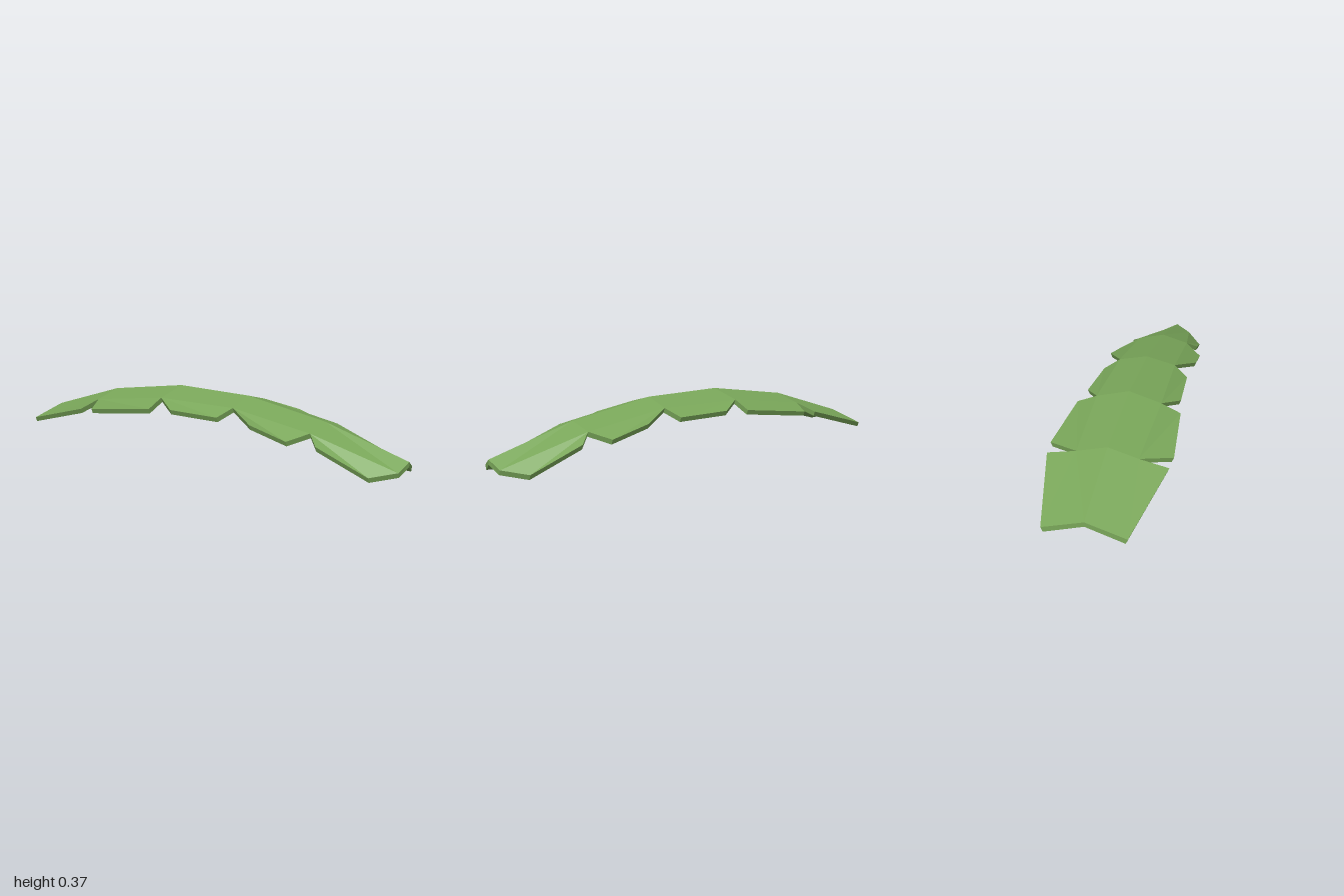
import * as THREE from 'three';

const THICK = 0.028;
const INSET = 0.008;

// Ridge points [along the x = z diagonal, height]
const ridge = [[-0.825, 0.15], [-0.48, 0.30], [-0.12, 0.37], [0.22, 0.355], [0.58, 0.26], [0.94, 0.1]];

// Notch points [x, y, z] on one side of each seam between lobes (the first is the cut stem end)
const notches = [[-0.67, 0.09, -1.0], [-0.36, 0.255, -0.61], [0.01, 0.32, -0.265], [0.35, 0.31, 0.10], [0.69, 0.22, 0.46], [0.99, 0.055, 0.86]];

// Outer corners of each lobe, from its rear notch to its front notch
const lobes = [
  [[-0.24, 0.22, -0.73]],
  [[-0.17, 0.23, -0.67], [0.09, 0.27, -0.35]],
  [[0.17, 0.275, -0.235], [0.375, 0.262, 0.0]],
  [[0.55, 0.25, 0.15], [0.70, 0.182, 0.32]],
  [[0.78, 0.165, 0.465], [0.97, 0.03, 0.70]],
];

const under = ([x, y, z]) => {
  const shift = x - z > 0.01 ? INSET : 0; // the ridge stays in the middle
  return [x - shift, y - THICK, z + shift];
};

// One half lobe as a thin folded plate; mirrored across the x = z plane when asked
function halfLobe(i, mirrored) {
  const pos = [];
  const tri = (a, b, c) => {
    const t = mirrored ? [a, c, b] : [a, b, c];
    for (const [x, y, z] of t) pos.push(...(mirrored ? [z, y, x] : [x, y, z]));
  };
  const plate = (pts) => {
    for (let k = 1; k < pts.length - 1; k++) {
      tri(pts[0], pts[k], pts[k + 1]);
      tri(under(pts[0]), under(pts[k + 1]), under(pts[k]));
    }
  };
  const [s0, s1] = [ridge[i], ridge[i + 1]].map(([d, y]) => [d, y, d]);
  const [n0, n1] = [notches[i], notches[i + 1]];
  const outer = [...lobes[i]].reverse();

  // Inner panel beside the ridge and the drooping outer flap
  plate([s0, s1, n1, n0]);
  plate([n0, n1, ...outer]);

  // Rim, closed at the stem end and the tip
  const rim = [n1, ...outer, n0];
  if (i === 0) rim.push(s0);
  if (i === lobes.length - 1) rim.unshift(s1);
  for (let k = 0; k < rim.length - 1; k++) {
    const a = rim[k], b = rim[k + 1];
    tri(a, under(a), under(b));
    tri(a, under(b), b);
  }

  const geo = new THREE.BufferGeometry();
  geo.setAttribute('position', new THREE.Float32BufferAttribute(pos, 3));
  geo.computeVertexNormals(); // unshared corners give flat facets
  return geo;
}

export function createModel() {
  const leaf = new THREE.Group();
  leaf.name = 'leaf';
  const green = new THREE.MeshStandardMaterial({ color: 0x79a659 });
  green.name = 'leaf green';
  green.flatShading = true;

  lobes.forEach((_, i) => {
    const segment = new THREE.Group();
    segment.name = `leafSegment${i + 1}`;
    for (const mirrored of [false, true]) {
      const half = new THREE.Mesh(halfLobe(i, mirrored), green);
      half.name = mirrored ? 'rightLobe' : 'leftLobe';
      segment.add(half);
    }
    leaf.add(segment);
  });
  return leaf;
}
